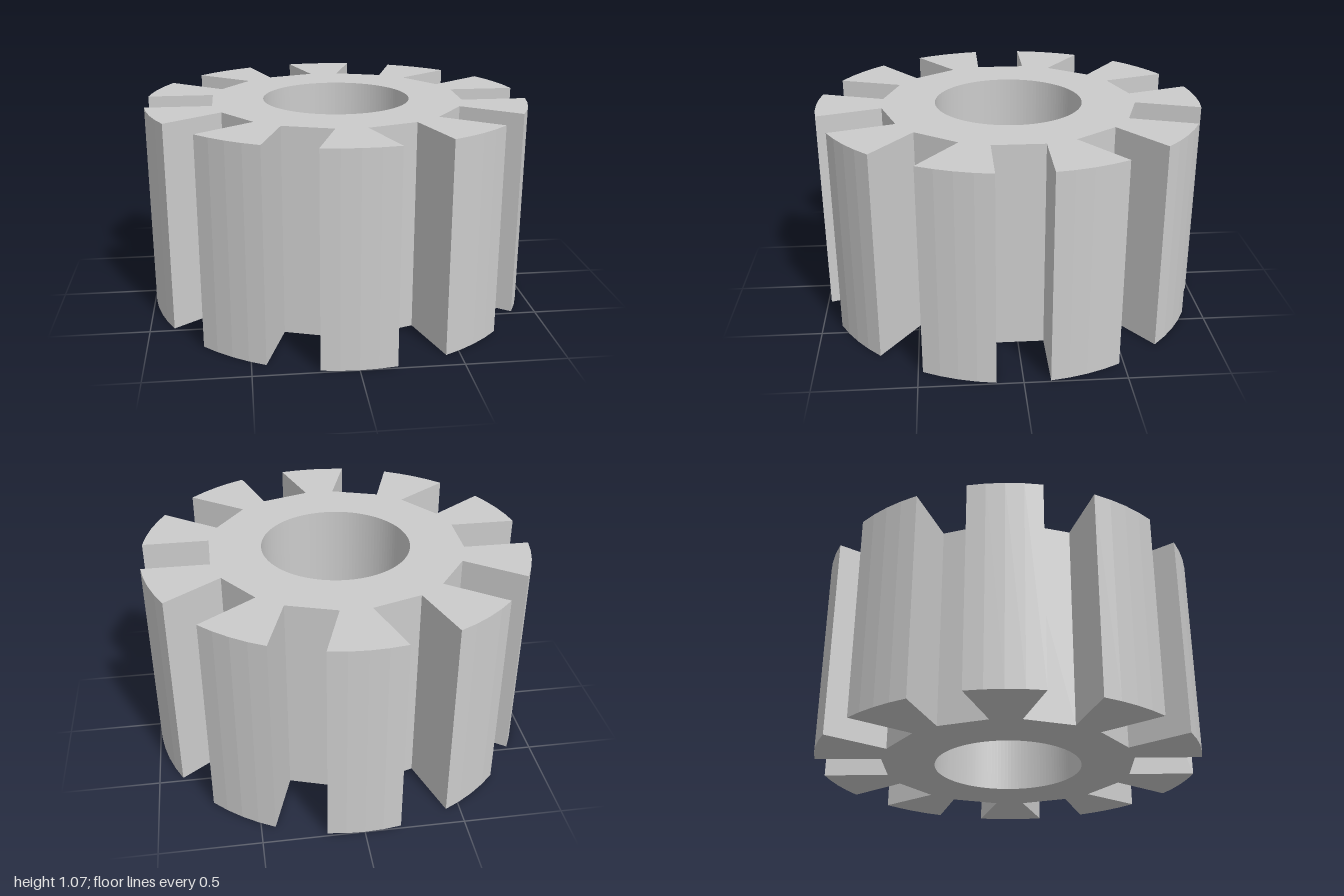
import * as THREE from 'three';

const TEETH = 10, OUTER = 1, FLOOR = 0.65, HALF_SLOT = 0.13, BORE = 0.385, HEIGHT = 1.07;

// Outline: a flat-floored, parallel-sided slot followed by a tooth tip arc, repeated around
function toothedOutline() {
  const points = [];
  const step = (Math.PI * 2) / TEETH;
  const slotAngle = Math.asin(HALF_SLOT / OUTER);
  const tipSegments = 4;
  const origin = new THREE.Vector2();
  for (let i = 0; i < TEETH; i++) {
    const a = i * step;
    points.push(new THREE.Vector2(FLOOR, -HALF_SLOT).rotateAround(origin, a));
    points.push(new THREE.Vector2(FLOOR, HALF_SLOT).rotateAround(origin, a));
    for (let j = 0; j <= tipSegments; j++) {
      const t = a + slotAngle + ((step - 2 * slotAngle) * j) / tipSegments;
      points.push(new THREE.Vector2(OUTER * Math.cos(t), OUTER * Math.sin(t)));
    }
  }
  return new THREE.Shape(points);
}

export function createModel() {
  const group = new THREE.Group();
  group.name = 'slottedRotor';

  const shape = toothedOutline();

  // Round shaft bore through the middle
  const bore = new THREE.Path();
  bore.absarc(0, 0, BORE, 0, Math.PI * 2, true);
  shape.holes.push(bore);

  const geometry = new THREE.ExtrudeGeometry(shape, {
    depth: HEIGHT, bevelEnabled: false, curveSegments: 64,
  });
  geometry.rotateX(-Math.PI / 2); // stand upright on y = 0

  const core = new THREE.Mesh(
    geometry,
    new THREE.MeshStandardMaterial({ color: 0xcccccc, flatShading: true }),
  );
  core.name = 'toothedCore';
  group.add(core);
  return group;
}
